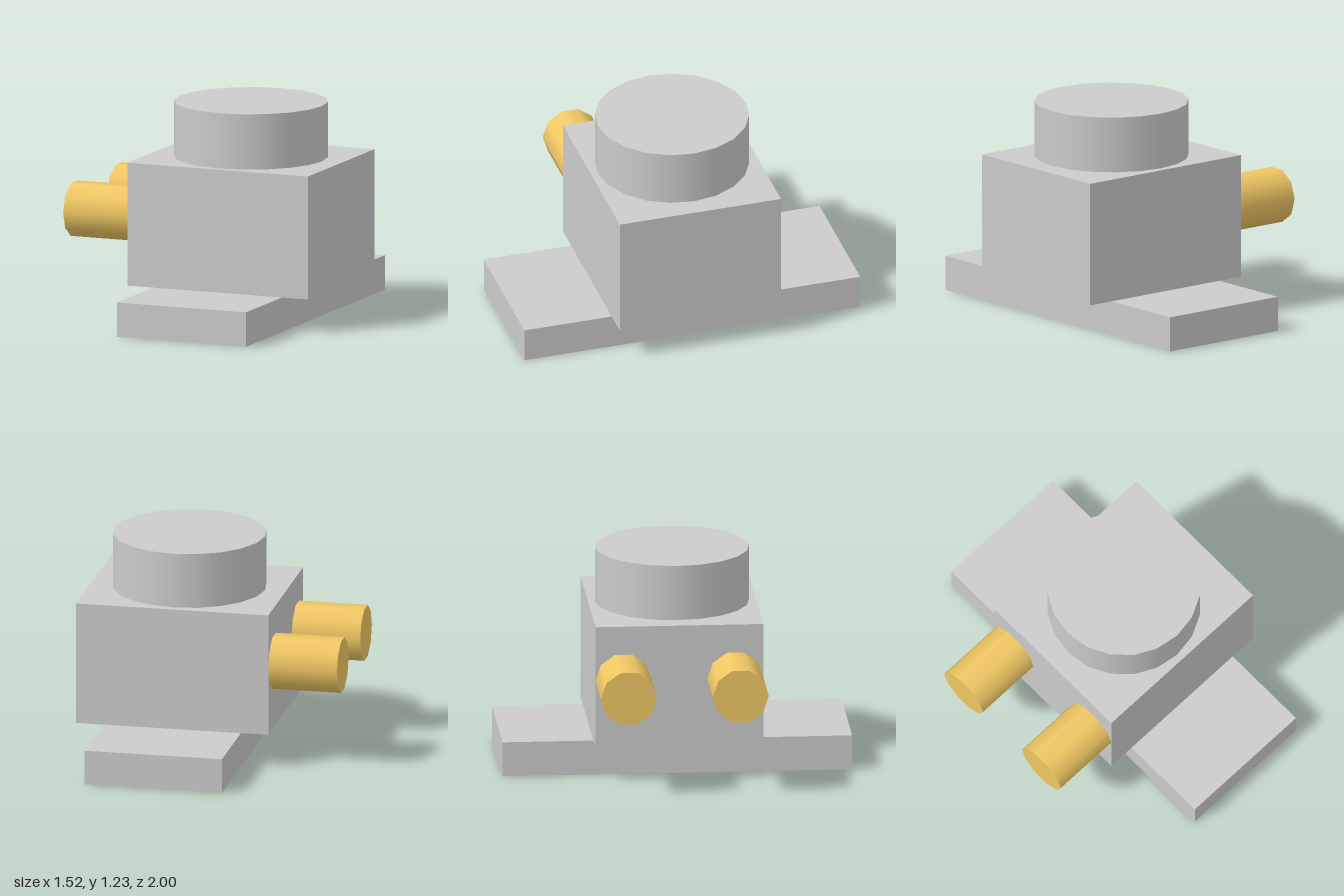
import * as THREE from 'three';

export function createModel() {
  const model = new THREE.Group();
  const grey = new THREE.MeshStandardMaterial({ color: 0xcccccc });
  const brass = new THREE.MeshStandardMaterial({ color: 0xf0c864 });

  const add = (name, geometry, material, x, y, z) => {
    const mesh = new THREE.Mesh(geometry, material);
    mesh.name = name;
    mesh.position.set(x, y, z);
    model.add(mesh);
    return mesh;
  };

  // Long mounting plate, main block and round cap, all centred on x = 0.2
  add('basePlate', new THREE.BoxGeometry(0.8, 0.2, 2), grey, 0.2, 0.1, 0);
  add('body', new THREE.BoxGeometry(1.12, 0.712, 0.96), grey, 0.2, 0.556, 0);
  add('cap', new THREE.CylinderGeometry(0.44, 0.44, 0.32, 20), grey, 0.2, 1.072, 0);

  // Pair of ten-sided pipe stubs out of the right side
  for (const [name, z] of [['frontPipe', 0.32], ['backPipe', -0.32]]) {
    const pipe = add(name, new THREE.CylinderGeometry(0.16, 0.16, 0.4, 10), brass, -0.56, 0.594, z);
    pipe.rotation.z = Math.PI / 2;
  }

  return model;
}
